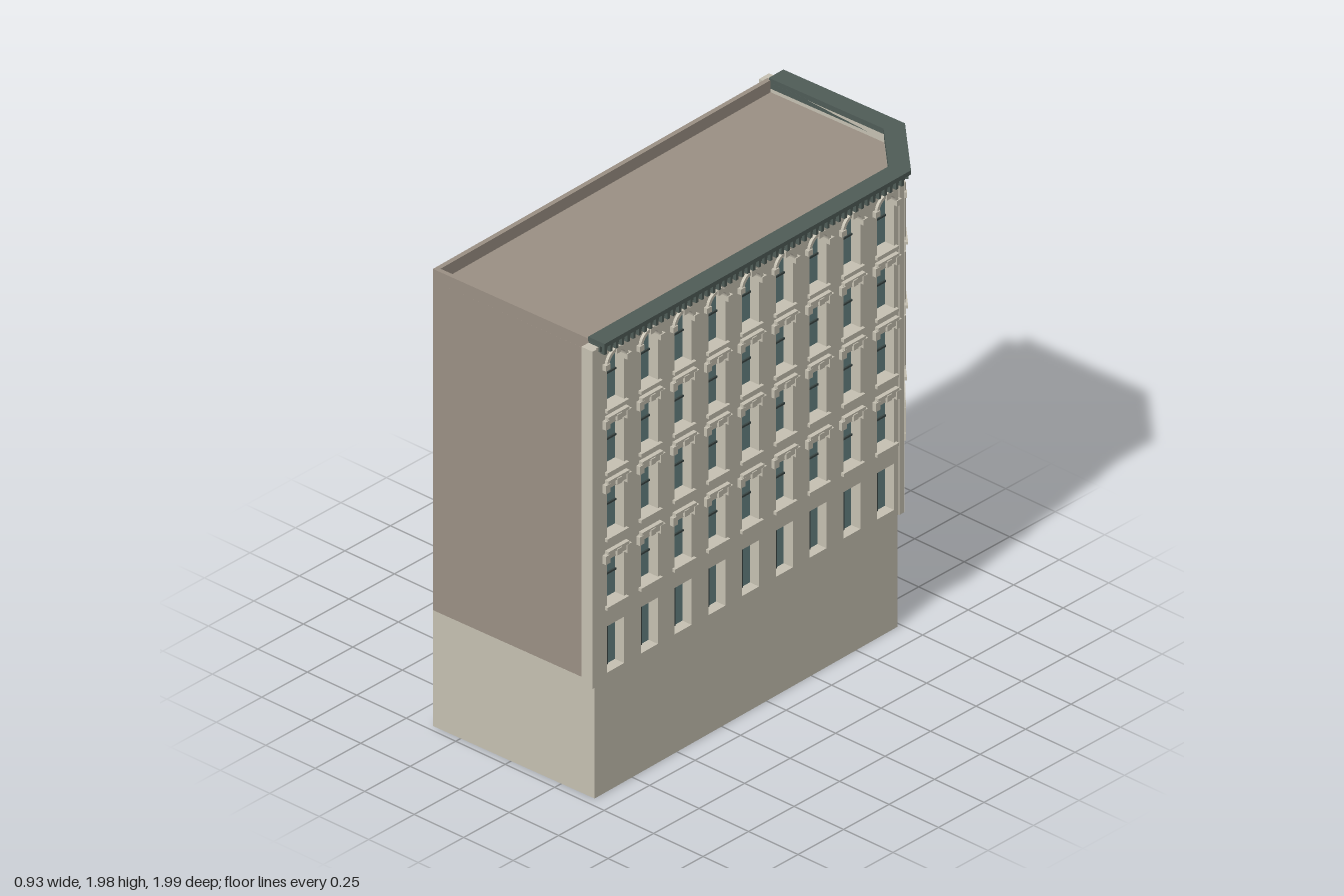
import * as THREE from 'three';
import { mergeGeometries } from 'three/addons/utils/BufferGeometryUtils.js';

const mat = (color) => new THREE.MeshStandardMaterial({ color, roughness: 0.9 });
const STONE = mat(0xc6c1b2), BRICK = mat(0x9b9084), METAL = mat(0x4f5c57);
const GLASS = mat(0x688484), FRAME = mat(0x3a4644);

// Street corners as [x, z], running along the three decorated sides
const STREET = [[0.415, 0.96], [0.39, -0.73], [0.17, -0.94], [-0.41, -0.925]];
const FRONT_LEFT = [-0.388, 0.975];
const BOTTOM = 0.5, OUT = 0.02, IN = -0.03;

// Floors: bottom and top of each window, and its style
const FLOORS = [
  { y0: 0.53, y1: 0.73, style: 'plain' },
  { y0: 0.82, y1: 1.025, style: 'hood' },
  { y0: 1.115, y1: 1.33, style: 'hood' },
  { y0: 1.4, y1: 1.605, style: 'hood' },
  { y0: 1.67, y1: 1.905, style: 'arch' },
];
const row = (n, start, step) => Array.from({ length: n }, (_, i) => start + i * step);
const FACADES = [
  { name: 'longFacade', columns: row(9, 0.095, 0.1884), before: 0.04, after: 0.008 },
  { name: 'cornerFacade', columns: row(2, 0.079, 0.146), before: 0.008, after: 0.008, corner: true },
  { name: 'rearFacade', columns: row(3, 0.078, 0.197), before: 0.008, after: 0.05 },
];

function edge(i) {
  const [a, b] = [STREET[i], STREET[i + 1]];
  const dx = b[0] - a[0], dz = b[1] - a[1], len = Math.hypot(dx, dz);
  return { len, nx: -dz / len, nz: dx / len };
}

// Street line moved outward by d, with mitred corners
function streetLine(d) {
  return STREET.map(([x, z], i) => {
    const e = edge(Math.max(i - 1, 0)), f = edge(Math.min(i, 2));
    const k = d / (1 + e.nx * f.nx + e.nz * f.nz);
    return [x + (e.nx + f.nx) * k, z + (e.nz + f.nz) * k];
  });
}

// Upright prism over a floor plan
function prism(name, plan, y0, y1, material) {
  const shape = new THREE.Shape(plan.map(([x, z]) => new THREE.Vector2(x, -z)));
  const g = new THREE.ExtrudeGeometry(shape, { depth: y1 - y0, bevelEnabled: false });
  g.rotateX(-Math.PI / 2).translate(0, y0, 0);
  const m = new THREE.Mesh(g, material);
  m.name = name;
  return m;
}
const band = (name, inner, outer, y0, y1, material) =>
  prism(name, [...streetLine(outer), ...streetLine(inner).reverse()], y0, y1, material);

function box(x, y0, y1, w, z0, z1) {
  return new THREE.BoxGeometry(w, y1 - y0, z1 - z0).translate(x, (y0 + y1) / 2, (z0 + z1) / 2);
}
function slab(shape, z0, z1) {
  return new THREE.ExtrudeGeometry(shape, { depth: z1 - z0, bevelEnabled: false, curveSegments: 10 }).translate(0, 0, z0);
}

// Window outline, square or round headed
function opening(x, y0, y1, w, round) {
  const r = w / 2, s = new THREE.Shape();
  s.moveTo(x - r, y0).lineTo(x + r, y0);
  if (round) s.lineTo(x + r, y1 - r).absarc(x, y1 - r, r, 0, Math.PI, false);
  else s.lineTo(x + r, y1).lineTo(x - r, y1);
  s.closePath();
  return s;
}

// Half-ring moulding over a round head
function archRing(x, y, r, t) {
  const s = new THREE.Shape();
  s.moveTo(x + r + t, y).absarc(x, y, r + t, 0, Math.PI, false);
  s.lineTo(x - r, y).absarc(x, y, r, Math.PI, 0, true);
  s.closePath();
  return s;
}

function addWindow(parts, wall, x, f, w, hooded) {
  const { y0, y1, style } = f, mid = (y0 + y1) / 2, round = style === 'arch';
  const hole = opening(x, y0, y1, w, round);
  wall.holes.push(hole);
  parts.glass.push(new THREE.ShapeGeometry(hole, 10).translate(0, 0, -0.026));
  if (style === 'plain') {
    parts.frame.push(box(x, y0, y1, 0.007, -0.026, -0.02));
    return;
  }
  parts.frame.push(box(x, mid - 0.004, mid + 0.004, w, -0.026, -0.019));
  // Sill
  parts.stone.push(box(x, y0 - 0.014, y0, w + 0.025, 0, OUT + 0.014));
  if (round) {
    // Arched hood with ears and keystone
    const spring = y1 - w / 2;
    parts.stone.push(slab(archRing(x, spring, w / 2, 0.014), 0, OUT + 0.012));
    for (const s of [-1, 1]) parts.stone.push(box(x + s * (w / 2 + 0.012), spring - 0.012, spring + 0.012, 0.026, 0, OUT + 0.017));
    parts.stone.push(box(x, y1 - 0.008, y1 + 0.02, 0.022, 0, OUT + 0.018));
  } else if (hooded) {
    // Straight hood with drop ears, cap and keystone
    parts.stone.push(box(x, y1, y1 + 0.024, w + 0.03, 0, OUT + 0.012));
    parts.stone.push(box(x, y1 + 0.024, y1 + 0.036, w + 0.022, 0, OUT + 0.018));
    for (const s of [-1, 1]) parts.stone.push(box(x + s * (w / 2 + 0.012), y1 - 0.014, y1 + 0.022, 0.026, 0, OUT + 0.017));
    parts.stone.push(box(x, y1 + 0.004, y1 + 0.03, 0.026, 0, OUT + 0.022));
  }
}

// Corner bay: shared lintels, slim columns and one broad arch
function addCornerBay(parts, wall, len) {
  const c = len / 2, z1 = OUT + 0.014;
  for (const f of [FLOORS[2], FLOORS[3]]) {
    parts.stone.push(box(c, f.y1 + 0.002, f.y1 + 0.03, 0.25, 0, z1));
    parts.stone.push(box(c, f.y1 + 0.03, f.y1 + 0.042, 0.262, 0, z1 + 0.008));
  }
  for (const f of FLOORS.slice(2)) for (const x of [c - 0.127, c, c + 0.127]) {
    parts.stone.push(new THREE.CylinderGeometry(0.01, 0.01, f.y1 - f.y0, 10).translate(x, (f.y0 + f.y1) / 2, OUT + 0.004));
  }
  const r = 0.102, top = 1.03, hole = opening(c, 0.82, top, r * 2, true);
  wall.holes.push(hole);
  parts.glass.push(new THREE.ShapeGeometry(hole, 14).translate(0, 0, -0.026));
  parts.frame.push(box(c, 0.915, 0.923, r * 2, -0.026, -0.019));
  parts.stone.push(box(c, 0.82, 1.02, 0.036, -0.026, 0.005));
  parts.stone.push(slab(archRing(c, top - r, r, 0.018), 0, z1));
  parts.stone.push(box(c, top - 0.01, top + 0.03, 0.03, 0, z1 + 0.008));
  parts.stone.push(box(c, 1.05, 1.064, 0.262, 0, z1 + 0.004));
  parts.stone.push(box(c, 0.79, 0.82, 0.262, 0, z1));
  for (const s of [-1, 1]) parts.stone.push(box(c + s * (r + 0.01), 0.82, top - r, 0.02, 0, z1));
}

function makeFacade(spec, i) {
  const { len, nx, nz } = edge(i), group = new THREE.Group();
  const parts = { stone: [], glass: [], frame: [], metal: [] };
  const x0 = -spec.before, x1 = len + spec.after, top = 1.955;
  const wall = new THREE.Shape([[x0, BOTTOM], [x1, BOTTOM], [x1, top], [x0, top]].map((p) => new THREE.Vector2(...p)));
  FLOORS.forEach((f, n) => {
    if (spec.corner && n === 1) return addCornerBay(parts, wall, len);
    for (const x of spec.columns) addWindow(parts, wall, x, f, 0.095, !spec.corner);
  });
  parts.stone.push(slab(wall, IN, OUT));
  // End piers
  for (const x of [x0 + 0.012, x1 - 0.012]) parts.stone.push(box(x, BOTTOM, top, 0.024, 0, OUT + 0.006));
  // Cornice brackets
  const count = Math.round(len / 0.032);
  for (let k = 0; k < count; k++) {
    parts.metal.push(box(((k + 0.5) * len) / count, 1.925, 1.962, 0.013, 0, 0.042));
  }
  const look = { stone: ['wallAndTrim', STONE], glass: ['windowGlass', GLASS], frame: ['sashBars', FRAME], metal: ['corniceBrackets', METAL] };
  for (const key in parts) {
    const geos = parts[key].map((g) => (g.index ? g.toNonIndexed() : g));
    const mesh = new THREE.Mesh(mergeGeometries(geos), look[key][1]);
    mesh.name = look[key][0];
    group.add(mesh);
  }
  group.name = spec.name;
  group.position.set(STREET[i][0], 0, STREET[i][1]);
  group.rotation.y = Math.atan2(nx, nz);
  return group;
}

export function createModel() {
  const model = new THREE.Group();
  model.name = 'cornerBuilding';
  const backLeft = [-0.422, -0.9];
  const core = [...streetLine(IN).slice(0, 3), backLeft, FRONT_LEFT];
  model.add(prism('groundFloor', [...STREET, FRONT_LEFT], 0, BOTTOM, STONE));
  model.add(prism('upperBlock', core, BOTTOM, 1.92, BRICK));
  // Low parapet on the two blank sides
  model.add(prism('parapet', [[0.385, 0.96], FRONT_LEFT, backLeft, [-0.402, -0.9], [-0.368, 0.955], [0.385, 0.94]], 1.92, 1.972, BRICK));
  FACADES.forEach((spec, i) => model.add(makeFacade(spec, i)));
  // Cornice in stepped bands
  model.add(band('corniceFrieze', IN, 0.028, 1.935, 1.96, METAL));
  model.add(band('corniceTop', IN - 0.002, 0.05, 1.962, 1.98, METAL));
  return model;
}
